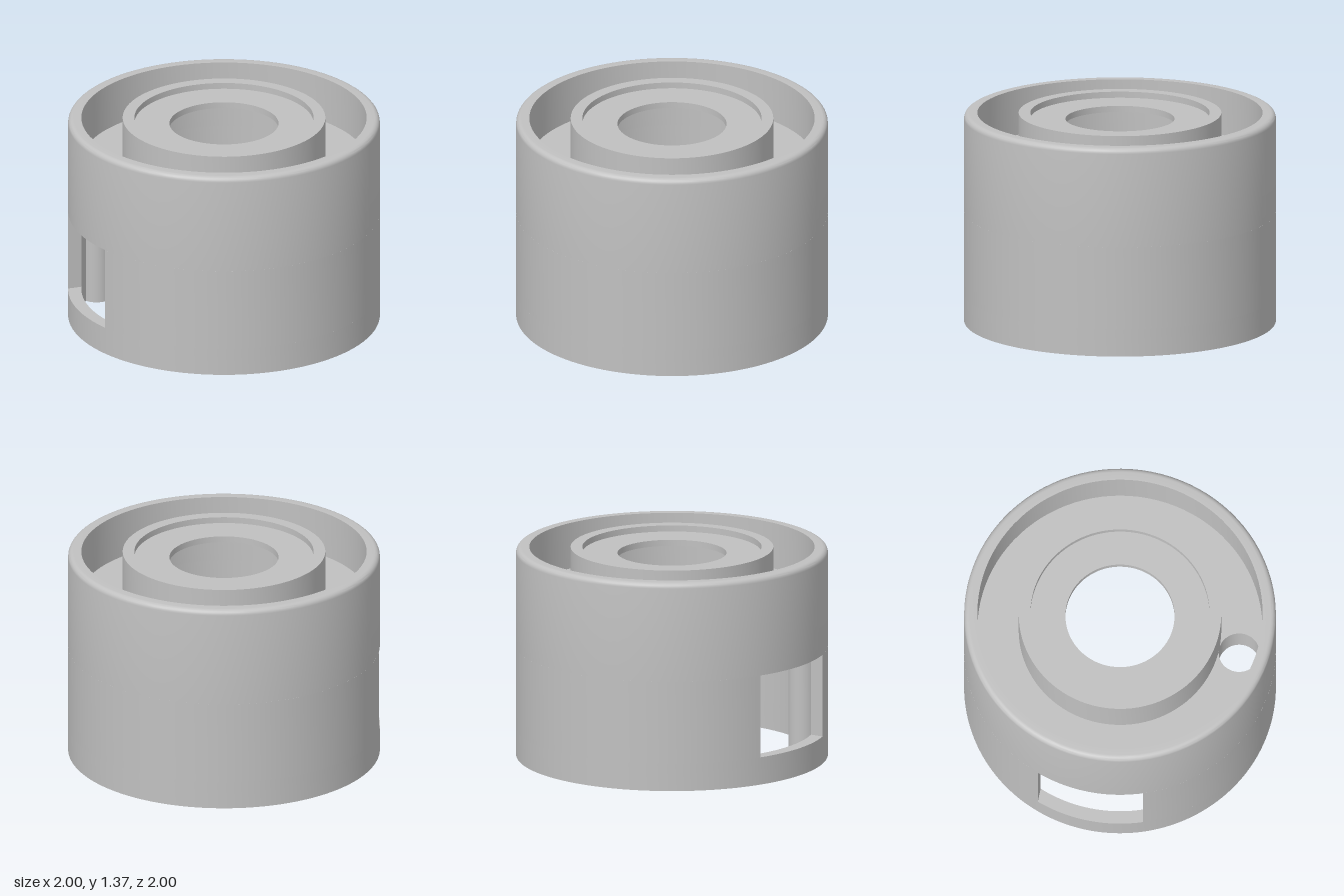
import * as THREE from 'three';
import { toCreasedNormals } from 'three/addons/utils/BufferGeometryUtils.js';

const R = 1, INNER = 0.915, HEIGHT = 1.37;
const CEILING = 0.86, FLOOR = 1.07;
const SILL = 0.18, LINTEL = 0.72, WINDOW_HALF = 0.345;

export function createModel() {
  const group = new THREE.Group();
  const grey = new THREE.MeshStandardMaterial({ color: 0xc0c0c0 });
  grey.name = 'grey plastic';

  const add = (name, geometry) => {
    const mesh = new THREE.Mesh(toCreasedNormals(geometry, 0.5), grey);
    mesh.name = name;
    group.add(mesh);
    return mesh;
  };

  // Disc outline with round holes given as [x, y, radius]
  const disc = (radius, holes) => {
    const shape = new THREE.Shape().absarc(0, 0, radius, 0, Math.PI * 2);
    for (const [x, y, r] of holes) {
      shape.holes.push(new THREE.Path().absarc(x, y, r, 0, Math.PI * 2, true));
    }
    return shape;
  };

  // Upright slab between two heights; shape y becomes -z
  const slab = (shape, y0, y1, curveSegments = 96) =>
    new THREE.ExtrudeGeometry(shape, { depth: y1 - y0, bevelEnabled: false, curveSegments })
      .rotateX(-Math.PI / 2)
      .translate(0, y0, 0);

  // Turned solid from a closed [radius, height] profile, counter-clockwise
  const turned = (profile) =>
    new THREE.LatheGeometry(profile.map(([r, y]) => new THREE.Vector2(r, y)), 96);

  // Wall below the window
  add('lowerWall', slab(disc(R, [[0, 0, INNER]]), 0, SILL));

  // Wall beside the window, open towards -x with parallel jambs
  const a = Math.PI - Math.asin(WINDOW_HALF / R);
  const b = Math.PI - Math.asin(WINDOW_HALF / INNER);
  const open = new THREE.Shape().absarc(0, 0, R, -a, a, false);
  open.absarc(0, 0, INNER, b, -b, true);
  open.closePath();
  add('windowWall', slab(open, SILL, LINTEL));

  // Wall above the window with a rounded outer rim
  const fillet = 0.035;
  const rim = [];
  for (let i = 0; i <= 6; i++) {
    const t = (i / 6) * Math.PI / 2;
    rim.push([R - fillet + fillet * Math.cos(t), HEIGHT - fillet + fillet * Math.sin(t)]);
  }
  add('upperWall', turned([
    [INNER, LINTEL], [R, LINTEL], ...rim, [INNER, HEIGHT], [INNER, LINTEL],
  ]));

  // Tray floor with the cable hole near the front
  add('trayFloor', slab(disc(INNER, [[0, 0, 0.58], [0, -0.78, 0.131]]), CEILING, FLOOR));

  // Raised hollow boss with a shallow recess and central opening
  add('centralBoss', turned([
    [0.58, FLOOR], [0.65, FLOOR], [0.65, HEIGHT], [0.575, HEIGHT], [0.575, 1.33],
    [0.35, 1.33], [0.35, 1.29], [0.58, 1.29], [0.58, FLOOR],
  ]));

  // Four screw posts hanging from the tray floor
  const post = slab(disc(0.095, [[0, 0, 0.04]]), 0, CEILING, 24);
  for (let i = 0; i < 4; i++) {
    const angle = THREE.MathUtils.degToRad(40 + 90 * i);
    const mesh = add('screwPost', post);
    mesh.position.set(0.87 * Math.cos(angle), 0, 0.87 * Math.sin(angle));
  }

  return group;
}
